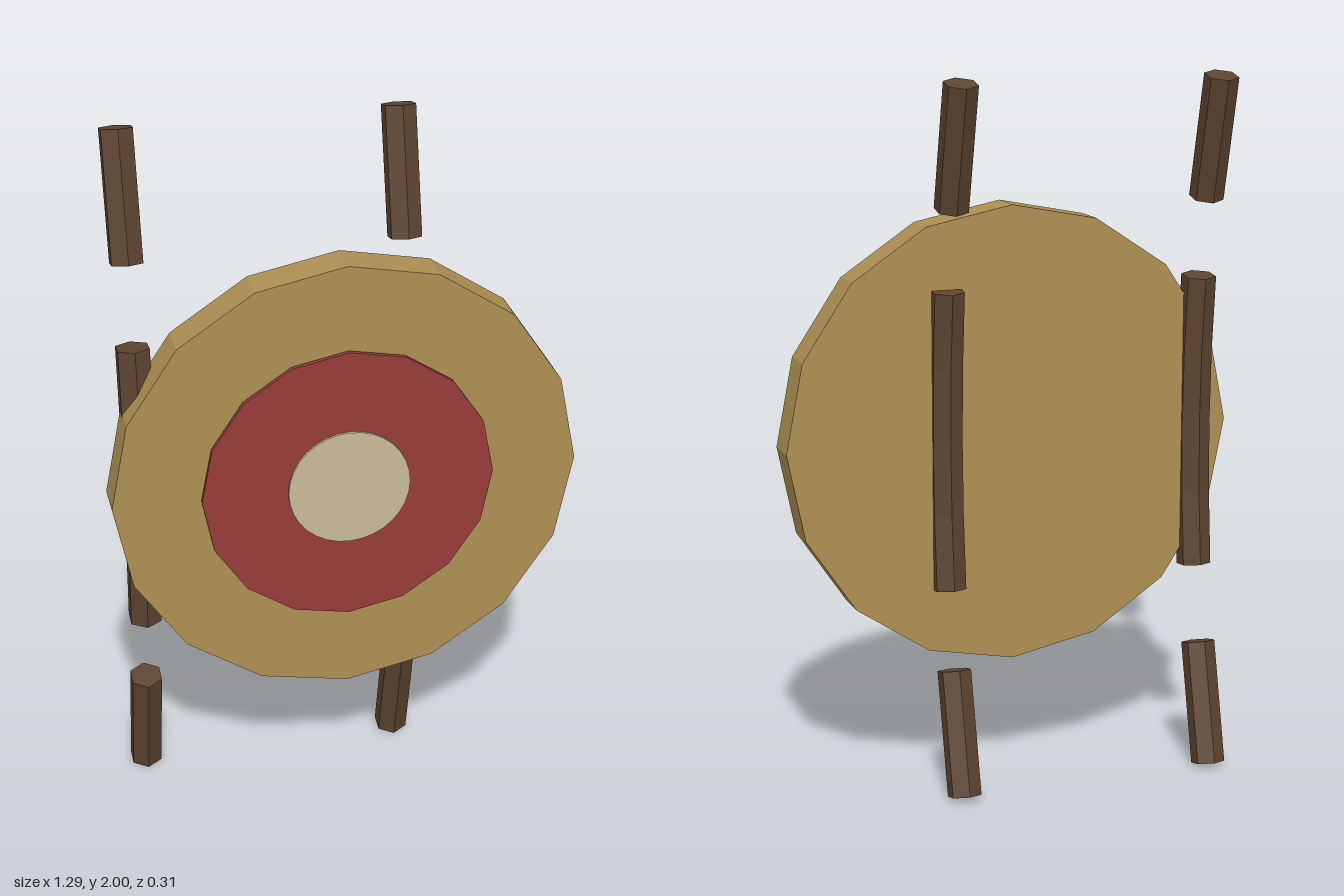
import * as THREE from 'three';

const mat = (name, color) => {
  const m = new THREE.MeshStandardMaterial({ color, flatShading: true });
  m.name = name;
  return m;
};

export function createModel() {
  const model = new THREE.Group();
  model.name = 'archeryTarget';
  const straw = mat('straw', 0xad8f53);
  const red = mat('red', 0x963c38);
  const cream = mat('cream', 0xc8b998);
  const wood = mat('darkWood', 0x5c4430);

  const add = (name, geometry, material, x, y, z) => {
    const mesh = new THREE.Mesh(geometry, material);
    mesh.name = name;
    mesh.position.set(x, y, z);
    model.add(mesh);
    return mesh;
  };

  // Stacked discs facing forward
  const disc = (name, radius, sides, back, front, material) =>
    add(name, new THREE.CylinderGeometry(radius, radius, front - back, sides).rotateX(Math.PI / 2),
      material, 0, 1.002, (back + front) / 2);
  disc('board', 0.645, 16, 0.025, 0.13, straw);
  disc('redRing', 0.405, 16, 0.137, 0.149, red);
  disc('bullseye', 0.169, 32, 0.149, 0.156, cream);

  // Gently bowed hexagonal bar, bent round a large circle
  const bowedBar = () => {
    const g = new THREE.CylinderGeometry(0.049, 0.049, 0.844, 6, 4);
    const p = g.attributes.position;
    const R = 3.5;
    for (let i = 0; i < p.count; i++) {
      const a = p.getY(i) / R;
      const r = R + p.getZ(i);
      p.setY(i, r * Math.sin(a));
      p.setZ(i, r * Math.cos(a) - R);
    }
    return g;
  };

  // Two rows of bars: bowed middle, tilted pieces above and below
  for (const x of [-0.555, 0.19]) {
    add('middleBar', bowedBar(), wood, x, 1.002, 0.045);
    for (const s of [1, -1]) {
      const bar = add(s > 0 ? 'upperBar' : 'lowerBar',
        new THREE.CylinderGeometry(0.048, 0.048, 0.352, 6), wood, x, 1.002 + s * 0.816, -0.063);
      bar.rotation.x = -s * 0.243;
    }
  }
  return model;
}
